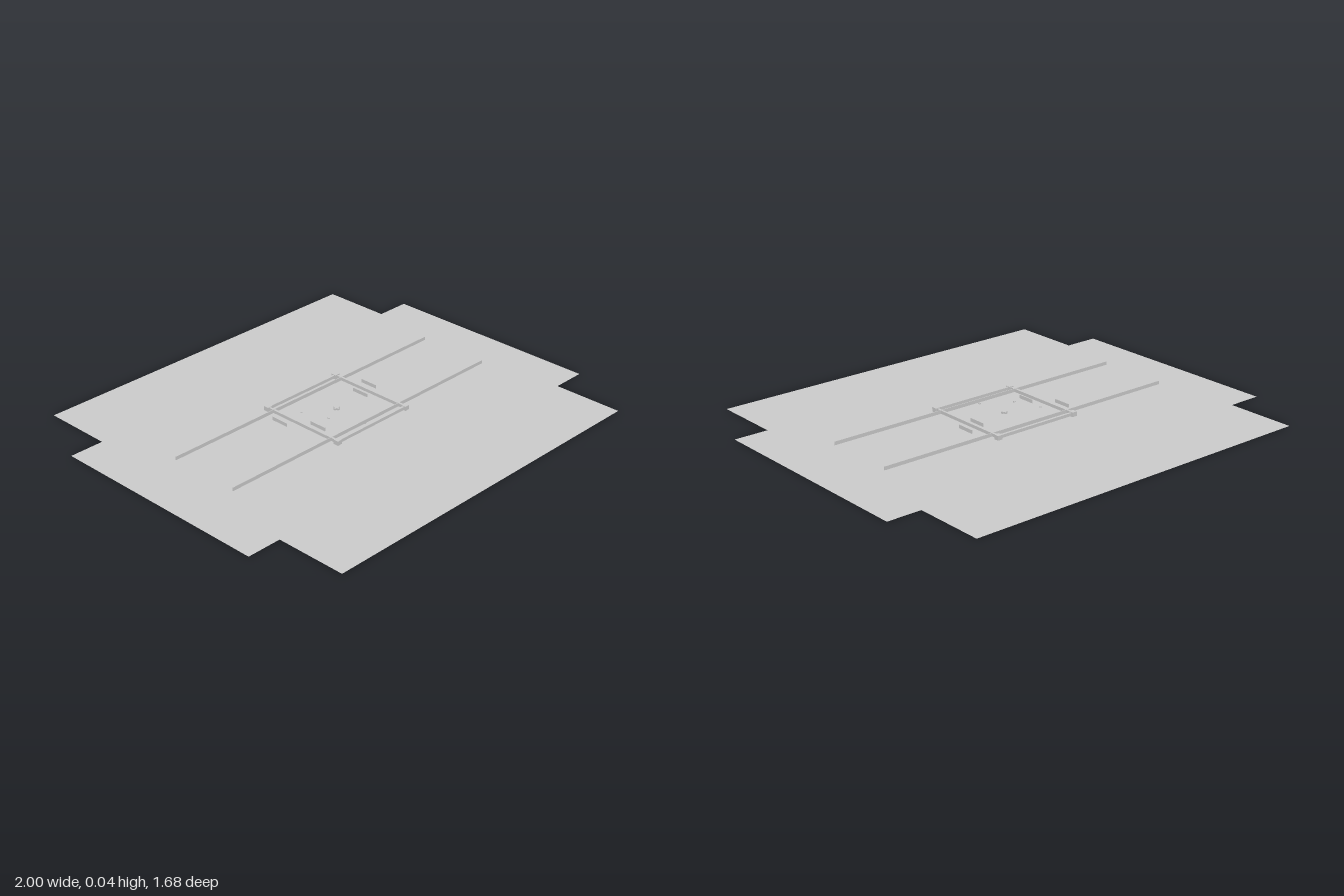
import * as THREE from 'three';

const grey = new THREE.MeshStandardMaterial({ color: 0xcccccc, flatShading: true });
const sheetGrey = new THREE.MeshStandardMaterial({ color: 0xcccccc, side: THREE.DoubleSide });

export function createModel() {
  const model = new THREE.Group();

  const add = (name, geometry, x, y, z, material = grey) => {
    const mesh = new THREE.Mesh(geometry, material);
    mesh.name = name;
    mesh.position.set(x, y, z);
    model.add(mesh);
    return mesh;
  };
  const box = (name, w, h, d, x, y, z) => add(name, new THREE.BoxGeometry(w, h, d), x, y, z);

  // Flat ground sheet with notched corners
  const W = 1, N = 0.842, H = 0.521;
  const outline = new THREE.Shape([
    [W, -H], [W, H], [N, H], [N, N], [-N, N], [-N, H],
    [-W, H], [-W, -H], [-N, -H], [-N, -N], [N, -N], [N, -H],
  ].map(([x, y]) => new THREE.Vector2(x, y)));
  add('groundSheet', new THREE.ShapeGeometry(outline).rotateX(-Math.PI / 2), 0, 0, 0, sheetGrey);

  // Everything else floats just above the sheet
  const midY = 0.027, railH = 0.016, F = 0.204;

  for (const s of [-1, 1]) {
    // Long thin rails
    box('longRail', 1.5, railH, 0.003, 0, midY, s * 0.168);
    // Square frame
    box('frameBarAcross', 2 * F, 0.014, 0.01, 0, midY, s * F);
    box('frameBarSide', 0.01, 0.014, 2 * F, s * F, midY, 0);
    // Corner posts
    for (const t of [-1, 1]) box('cornerPost', 0.024, 0.02, 0.024, s * F, midY, t * F);
  }

  // Short upright panels beside the frame
  for (const [x, z] of [[-0.251, -0.085], [0.251, -0.051], [0.167, -0.022], [-0.168, 0.054]]) {
    box('sidePanel', 0.003, railH, 0.084, x, midY, z);
  }

  // Small cross in the middle
  box('centreCross', 0.028, 0.008, 0.01, 0, 0.024, 0);
  box('centreCross', 0.01, 0.008, 0.028, 0, 0.024, 0);

  // Tiny studs
  for (const [x, y, z] of [[-0.139, 0.034, -0.07], [-0.096, 0.034, 0.048], [0, 0.016, 0.162]]) {
    add('stud', new THREE.CylinderGeometry(0.005, 0.005, 0.005, 8), x, y, z);
  }
  return model;
}
